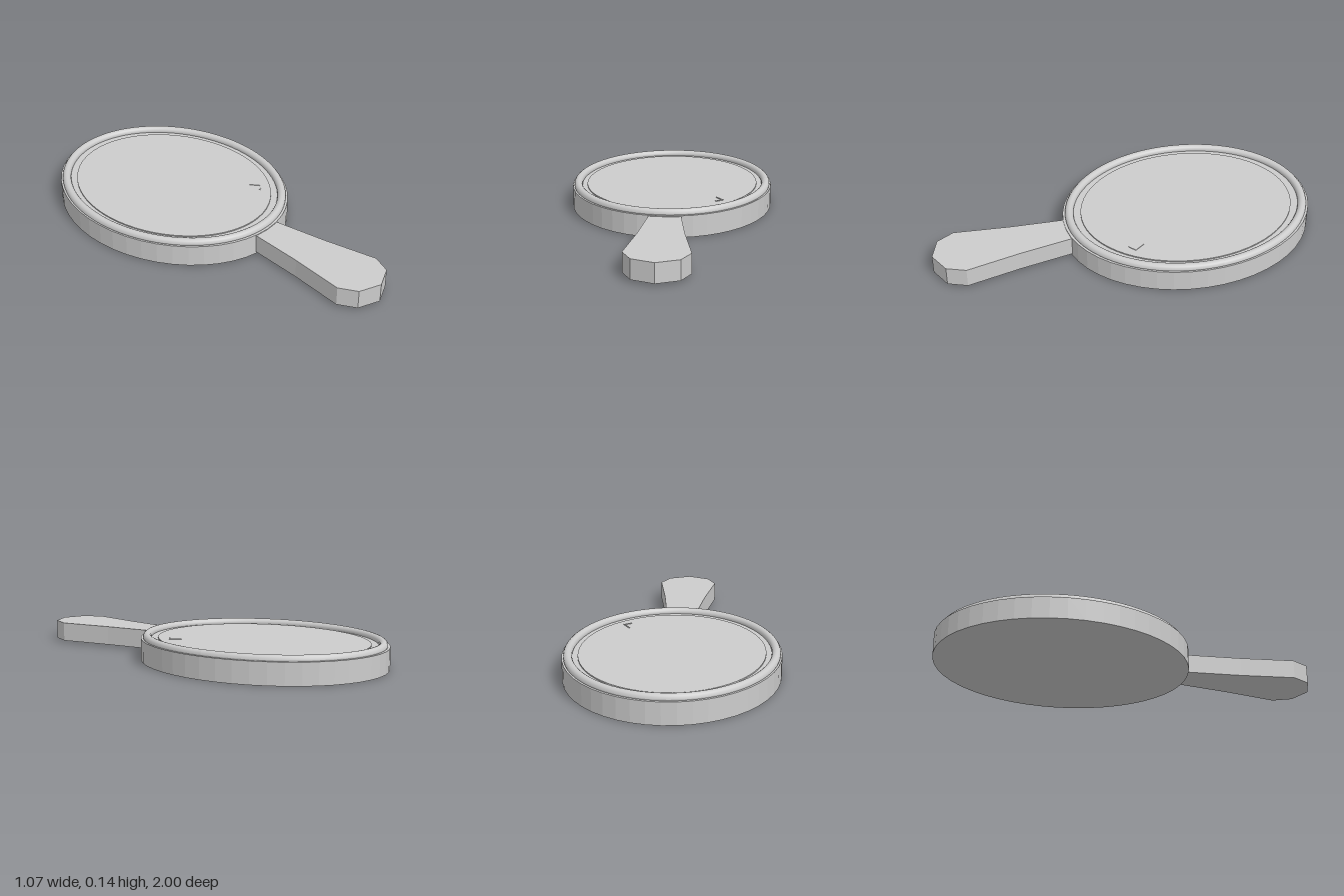
import * as THREE from 'three';

const CENTER_Z = -0.345;

// Elliptical ring surface: a tube profile swept around an ellipse
function ellipseTube(rx, rz, tube, y, segments, sides) {
  const geo = new THREE.TorusGeometry(1, 0.5, sides, segments);
  const pos = geo.attributes.position;
  for (let i = 0; i <= sides; i++) {
    const a = (i / sides) * Math.PI * 2;
    for (let j = 0; j <= segments; j++) {
      const t = (j / segments) * Math.PI * 2;
      const r = tube * Math.cos(a);
      pos.setXYZ(i * (segments + 1) + j,
        (rx + r) * Math.cos(t), y + tube * Math.sin(a), -(rz + r) * Math.sin(t));
    }
  }
  geo.computeVertexNormals();
  return geo;
}

// Flat outline given as [x, z] points, extruded upward from y0 to y1
function slab(points, y0, y1) {
  const shape = new THREE.Shape(points.map(([x, z]) => new THREE.Vector2(x, -z)));
  const geo = new THREE.ExtrudeGeometry(shape, { depth: y1 - y0, bevelEnabled: false });
  geo.rotateX(-Math.PI / 2);
  geo.translate(0, y0, 0);
  return geo;
}

function ellipsePoints(rx, rz, n) {
  return Array.from({ length: n }, (_, i) => {
    const t = (i / n) * Math.PI * 2;
    return [rx * Math.cos(t), -rz * Math.sin(t)];
  });
}

export function createModel() {
  const model = new THREE.Group();
  const grey = new THREE.MeshStandardMaterial({ color: 0xcccccc });
  grey.name = 'light grey';

  const add = (name, geo, z = 0) => {
    const mesh = new THREE.Mesh(geo, grey);
    mesh.name = name;
    mesh.position.z = z;
    model.add(mesh);
  };

  // Oval body with a faceted rim
  add('mirrorBody', slab(ellipsePoints(0.537, 0.655, 48), 0, 0.112), CENTER_Z);

  // Rounded frame on top of the body
  add('frameRing', ellipseTube(0.507, 0.62, 0.022, 0.118, 96, 16), CENTER_Z);

  // Thin glass plate inside the frame
  add('glass', slab(ellipsePoints(0.459, 0.56, 64), 0.105, 0.118), CENTER_Z);

  // Small raised corner mark on the glass
  add('glint', slab([[0.245, -0.02], [0.251, -0.024], [0.284, 0.03], [0.247, 0.056],
    [0.243, 0.05], [0.275, 0.028]], 0.115, 0.121));

  // Flared handle with a pointed end
  const side = [[0.075, 0.24], [0.082, 0.31], [0.113, 0.58], [0.157, 0.86], [0.112, 0.953]];
  const outline = [...side, [0, 1], ...side.map(([x, z]) => [-x, z]).reverse()];
  add('handle', slab(outline, 0.01, 0.108));

  return model;
}
